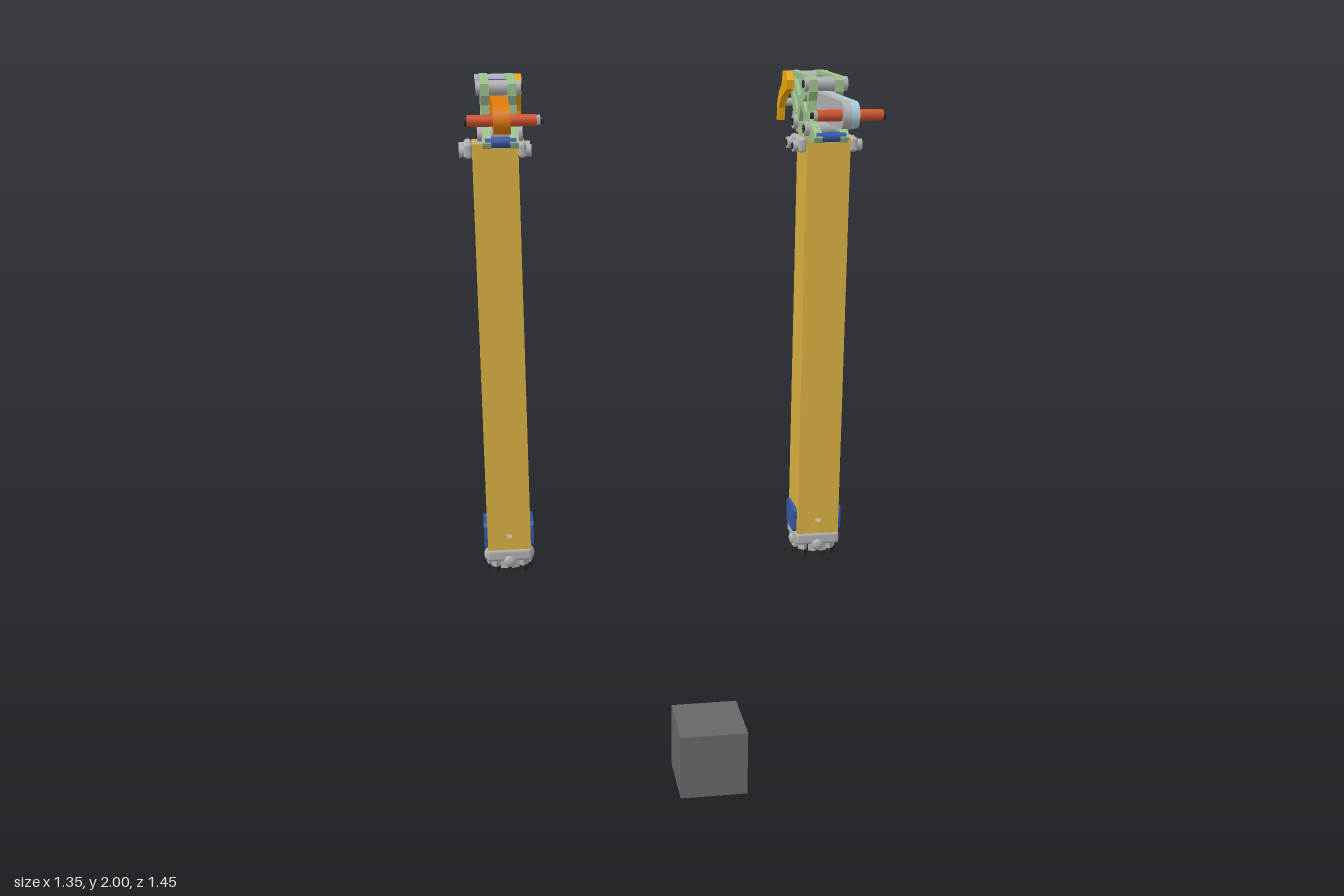
import * as THREE from 'three';
import { RoundedBoxGeometry } from 'three/addons/geometries/RoundedBoxGeometry.js';

const mat = (color) => new THREE.MeshStandardMaterial({ color, side: THREE.DoubleSide });
const M = {
  wood: mat(0xd9b040), green: mat(0x9dbf8c), grey: mat(0xb0b0b2), black: mat(0x2a2a2c),
  blue: mat(0x3557a5), red: mat(0xd0522c), orange: mat(0xe07b10), sky: mat(0xa9c8d6),
  amber: mat(0xeaa60c), dark: mat(0x686868),
};

function add(parent, name, geo, material, x = 0, y = 0, z = 0) {
  const m = new THREE.Mesh(geo, material);
  m.name = name;
  m.position.set(x, y, z);
  parent.add(m);
  return m;
}
const box = (w, h, d) => new THREE.BoxGeometry(w, h, d);
const rod = (r, len, seg = 20) => new THREE.CylinderGeometry(r, r, len, seg).rotateZ(Math.PI / 2);
const outline = (pts) => new THREE.Shape(pts.map(([a, b]) => new THREE.Vector2(a, b)));

// round hole in a shape
function drill(shape, x, y, r) {
  const p = new THREE.Path();
  p.absarc(x, y, r, 0, Math.PI * 2, true);
  shape.holes.push(p);
  return shape;
}

// side plate: shape x is the distance backwards, shape y is height; thickness centred on x
const plate = (shape, t) => new THREE.ExtrudeGeometry(shape, { depth: t, bevelEnabled: false, curveSegments: 10 })
  .translate(0, 0, -t / 2).rotateY(Math.PI / 2);

// truss plate outline and its triangular pockets
const trussPts = [[0.345, 2], [0.63, 2], [0.643, 1.99], [0.646, 1.955], [0.635, 1.94], [0.53, 1.81], [0.515, 1.8],
  [0.27, 1.79], [0.25, 1.795], [0.243, 1.81], [0.255, 1.826], [0.32, 1.852], [0.345, 1.885], [0.345, 1.92],
  [0.33, 1.95], [0.33, 1.988]];
const pockets = [
  [[0.395, 1.978], [0.575, 1.978], [0.5, 1.925], [0.47, 1.925]],
  [[0.365, 1.94], [0.365, 1.872], [0.43, 1.91]],
  [[0.375, 1.84], [0.48, 1.84], [0.455, 1.895]],
  [[0.52, 1.86], [0.6, 1.95], [0.495, 1.9]],
];

// lever: bar with a round nose, optionally ending in a curved hook
function leverShape(hook) {
  const s = new THREE.Shape();
  s.moveTo(0.6, 1.947);
  s.lineTo(0.033, 1.947);
  s.absarc(0.033, 1.9045, 0.0425, Math.PI / 2, Math.PI * 1.5, false);
  s.lineTo(0.56, 1.862);
  if (hook) hookTail(s); else s.lineTo(0.6, 1.862);
  return s;
}
function hookTail(s) {
  s.lineTo(0.615, 1.915);
  s.quadraticCurveTo(0.695, 1.9, 0.703, 1.82);
  s.lineTo(0.726, 1.82);
  s.quadraticCurveTo(0.735, 1.945, 0.615, 1.957);
  return drill(s, 0.642, 1.932, 0.009);
}

function bolt(parent, name, r, len, x, y, z) {
  add(parent, name, rod(r, len), M.grey, x, y, z);
  add(parent, name + 'Core', rod(r * 0.6, len + 0.006, 6), M.black, x, y, z);
}

function buildPost(s, name) {
  const g = new THREE.Group();
  g.name = name;
  const cx = s * 0.555, cz = -0.42, lx = s * 0.539;

  // hollow square column with cross holes near the foot
  const wall = (w) => new THREE.ExtrudeGeometry(
    drill(outline([[-w / 2, 0.37], [w / 2, 0.37], [w / 2, 1.795], [-w / 2, 1.795]]), 0, 0.43, 0.011),
    { depth: 0.012, bevelEnabled: false, curveSegments: 10 }).translate(0, 0, 0.063);
  for (let i = 0; i < 4; i++) add(g, 'columnWall', wall(i % 2 ? 0.126 : 0.15).rotateY(i * Math.PI / 2), M.wood, cx, 0, cz);
  add(g, 'columnCap', box(0.126, 0.01, 0.126), M.grey, cx, 1.787, cz);

  // blue side pads around the lower cross hole
  const pad = drill(outline([[0.36, 0.39], [0.37, 0.38], [0.47, 0.38], [0.48, 0.39], [0.48, 0.46], [0.47, 0.47],
    [0.37, 0.47], [0.36, 0.46]]), 0.42, 0.43, 0.011);
  for (const e of [-1, 1]) add(g, 'sidePad', plate(pad, 0.012), M.blue, cx + e * 0.081, 0, 0);

  // clamp brackets and bolts at the column top
  for (const e of [-1, 1]) {
    add(g, 'clampBracket', new RoundedBoxGeometry(0.026, 0.05, 0.15, 2, 0.01), M.grey, cx + e * 0.088, 1.773, cz);
    for (const z of [-0.372, -0.468]) bolt(g, 'clampBolt', 0.02, 0.036, cx + e * 0.1, 1.77, z);
  }

  // foot: collar, fingers, toothed tread and side buttons
  add(g, 'footCollar', new RoundedBoxGeometry(0.16, 0.045, 0.16, 2, 0.012), M.grey, cx, 0.357, cz);
  add(g, 'footCore', new THREE.CylinderGeometry(0.062, 0.062, 0.05, 16), M.black, cx, 0.325, cz);
  for (let i = 0; i < 12; i++) {
    const a = (i + 0.5) * Math.PI / 6, c = Math.cos(a), n = Math.sin(a);
    add(g, 'footFinger', box(0.02, 0.05, 0.026), M.grey, cx + c * 0.07, 0.327, cz + n * 0.07).rotation.y = -a;
    add(g, 'treadTooth', box(0.045, 0.02, 0.03), M.black, cx + c * 0.06, 0.3, cz + n * 0.06).rotation.y = -a;
  }
  add(g, 'treadHub', new THREE.CylinderGeometry(0.022, 0.022, 0.022, 16), M.grey, cx, 0.301, cz);
  for (let i = 0; i < 4; i++) {
    const a = i * Math.PI / 2;
    const b = add(g, 'footButton', new THREE.SphereGeometry(0.022, 14, 10), M.grey,
      cx + Math.cos(a) * 0.077, 0.335, cz + Math.sin(a) * 0.077);
    b.scale.set(i % 2 ? 1 : 0.55, 1, i % 2 ? 0.55 : 1);
  }

  // pair of truss plates: solid web with a raised outer frame
  for (const e of [-1, 1]) {
    const frame = outline(trussPts);
    for (const p of pockets) frame.holes.push(new THREE.Path(p.map(([a, b]) => new THREE.Vector2(a, b))));
    add(g, 'trussWeb', plate(outline(trussPts), 0.014), M.green, lx + e * 0.037, 0, 0);
    add(g, 'trussFrame', plate(frame, 0.014), M.green, lx + e * 0.051, 0, 0);
  }
  for (const [z, y] of [[-0.355, 1.974], [-0.625, 1.974], [-0.334, 1.83], [-0.51, 1.835]]) {
    bolt(g, 'trussBolt', 0.024, 0.146, lx, y, z);
  }
  add(g, 'upperSpacer', rod(0.018, 0.064), M.blue, lx, 1.97, -0.53);
  add(g, 'lowerSpacer', rod(0.017, 0.1), M.blue, lx, 1.81, -0.262);

  // lever with hook; one side is a two-layer lever
  if (s < 0) {
    add(g, 'lever', plate(leverShape(true), 0.052), M.orange, lx, 0, 0);
  } else {
    add(g, 'leverOuter', plate(leverShape(true), 0.026), M.sky, lx + 0.013, 0, 0);
    add(g, 'leverInner', plate(leverShape(false), 0.026), M.grey, lx - 0.013, 0, 0);
    const tail = new THREE.Shape();
    tail.moveTo(0.6, 1.947);
    tail.lineTo(0.6, 1.915);
    add(g, 'hookInner', plate(hookTail(tail), 0.026), M.sky, lx - 0.013, 0, 0);
  }

  // handle pin through the lever nose
  add(g, 'handlePin', rod(0.018, 0.21), M.red, lx, 1.905, -0.021);
  add(g, 'handleCap', rod(0.016, 0.014), M.black, s * 0.645, 1.905, -0.021);
  add(g, 'handleNut', rod(0.017, 0.018, 6), M.grey, s * 0.432, 1.905, -0.021);
  add(g, 'handleTip', rod(0.01, 0.014), M.black, s * 0.421, 1.905, -0.021);

  // inner link following the hook, joined by a short pin
  const link = outline([[0.59, 1.997], [0.64, 1.997], [0.655, 1.95], [0.7, 1.918], [0.726, 1.875], [0.726, 1.82],
    [0.703, 1.82], [0.695, 1.865], [0.66, 1.902], [0.61, 1.922], [0.565, 1.94], [0.562, 1.97]]);
  add(g, 'hookLink', plate(link, 0.024), M.amber, s * 0.467, 0, 0);
  add(g, 'linkPin', rod(0.014, 0.096), M.grey, s * 0.515, 1.883, -0.708);
  return g;
}

export function createModel() {
  const model = new THREE.Group();
  model.name = 'postsAndCube';
  model.add(buildPost(1, 'leftPost'), buildPost(-1, 'rightPost'));
  add(model, 'cube', box(0.2, 0.2, 0.2), M.dark, 0, 0.1, 0.627);
  return model;
}
